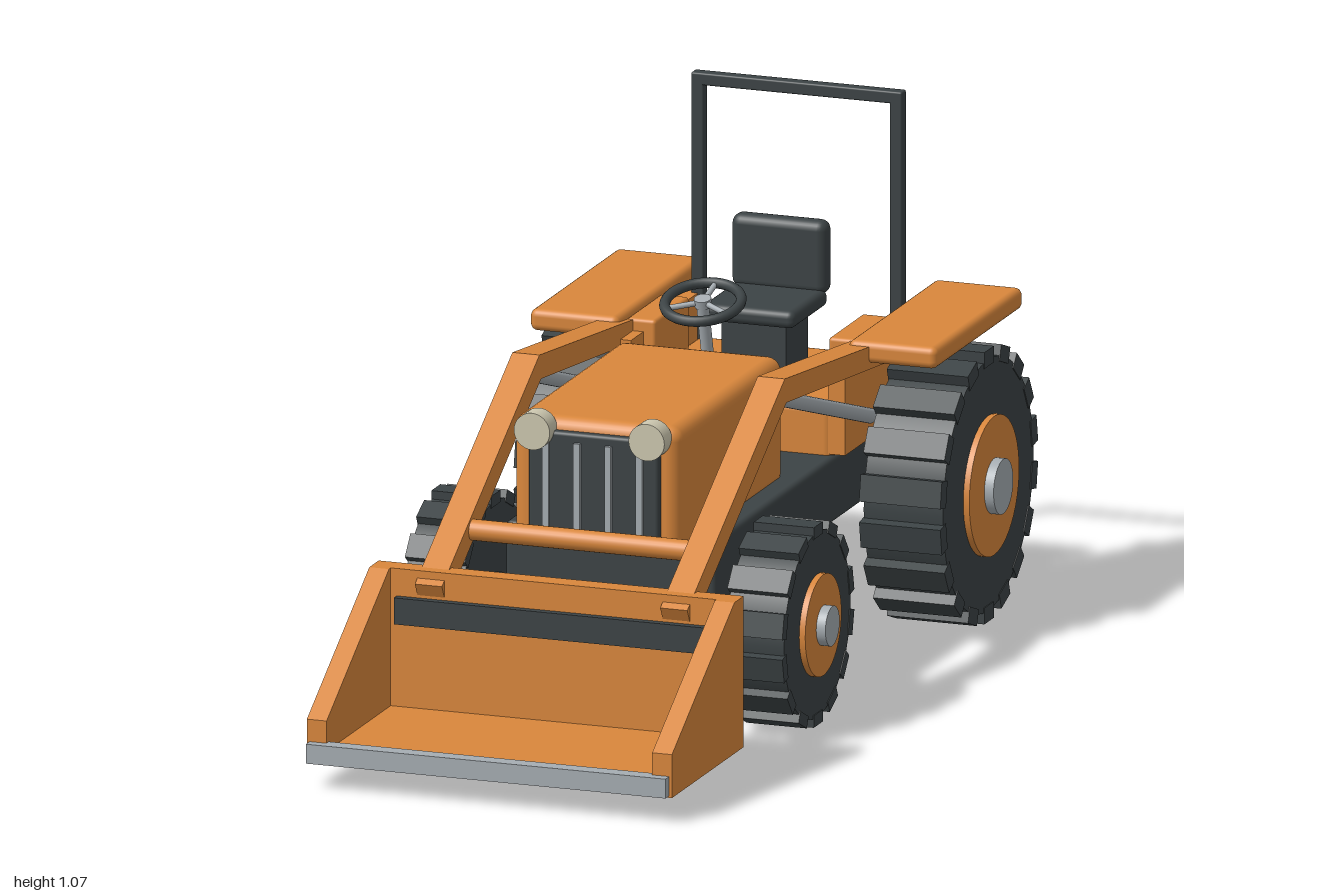
import * as THREE from 'three';
import { RoundedBoxGeometry } from 'three/addons/geometries/RoundedBoxGeometry.js';

export function createModel() {
  const model = new THREE.Group();
  model.name = 'bucketTractor';

  const paint = (name, color) => {
    const m = new THREE.MeshStandardMaterial({ color });
    m.name = name;
    return m;
  };
  const orange = paint('orange paint', 0xd9873c);
  const dark = paint('dark rubber and frame', 0x3c4345);
  const steel = paint('steel', 0xa6adb2);
  const cream = paint('lamp cream', 0xcdc8b0);

  const add = (name, geometry, material, parent = model) => {
    const mesh = new THREE.Mesh(geometry, material);
    mesh.name = name;
    parent.add(mesh);
    return mesh;
  };
  // Box given by its min and max on each axis; r rounds the edges
  const box = (name, [x0, x1], [y0, y1], [z0, z1], material, r = 0) => {
    const s = [x1 - x0, y1 - y0, z1 - z0];
    const g = r ? new RoundedBoxGeometry(...s, 3, r) : new THREE.BoxGeometry(...s);
    g.translate((x0 + x1) / 2, (y0 + y1) / 2, (z0 + z1) / 2);
    return add(name, g, material);
  };
  // Round bar between two points
  const rod = (name, a, b, radius, material, parent = model) => {
    const p = new THREE.Vector3(...a), q = new THREE.Vector3(...b);
    const d = q.clone().sub(p);
    const mesh = add(name, new THREE.CylinderGeometry(radius, radius, d.length(), 24), material, parent);
    mesh.position.copy(p).add(q).multiplyScalar(0.5);
    mesh.quaternion.setFromUnitVectors(new THREE.Vector3(0, 1, 0), d.normalize());
    return mesh;
  };
  // Side profile of [z, y] points, extruded across x0..x1
  const plate = (name, points, x0, x1, material) => {
    const shape = new THREE.Shape(points.map((p) => new THREE.Vector2(...p)));
    const g = new THREE.ExtrudeGeometry(shape, { depth: x1 - x0, bevelEnabled: false });
    g.rotateY(-Math.PI / 2).translate(x1, 0, 0);
    return add(name, g, material);
  };

  // Frame and rear body
  box('chassis', [-0.23, 0.23], [0.257, 0.397], [-0.86, 0.265], dark, 0.012);
  box('rearBumper', [-0.23, 0.23], [0.25, 0.4], [-0.93, -0.85], dark, 0.02);
  box('rearBody', [-0.225, 0.225], [0.38, 0.505], [-0.855, -0.435], orange, 0.02);

  // Hood, grille and bars
  box('hood', [-0.182, 0.182], [0.375, 0.65], [-0.27, 0.352], orange, 0.03);
  box('grille', [-0.142, 0.142], [0.385, 0.625], [0.33, 0.366], dark, 0.008);
  for (const x of [-0.102, -0.034, 0.034, 0.102])
    box('grilleBar', [x - 0.007, x + 0.007], [0.42, 0.605], [0.36, 0.374], steel);

  // Seat
  box('seatPedestal', [-0.07, 0.07], [0.49, 0.64], [-0.71, -0.58], dark);
  box('seatCushion', [-0.102, 0.102], [0.625, 0.662], [-0.745, -0.54], dark, 0.015);
  box('seatBack', [-0.104, 0.104], [0.65, 0.806], [-0.767, -0.72], dark, 0.02);

  // Steering column and wheel
  rod('steeringColumn', [0, 0.39, -0.37], [0, 0.74, -0.277], 0.013, steel);
  const steering = new THREE.Group();
  steering.name = 'steeringWheel';
  steering.position.set(0, 0.742, -0.28);
  steering.rotation.x = 0.27;
  model.add(steering);
  add('steeringRim', new THREE.TorusGeometry(0.079, 0.011, 12, 40).rotateX(Math.PI / 2), dark, steering);
  add('steeringHub', new THREE.CylinderGeometry(0.018, 0.018, 0.018, 20), steel, steering);
  for (let i = 0; i < 3; i++) {
    const a = (i * 2 * Math.PI) / 3 + Math.PI / 2;
    rod('steeringSpoke', [0, 0, 0], [0.077 * Math.cos(a), 0, -0.077 * Math.sin(a)], 0.006, steel, steering);
  }

  // Roll bar
  box('rollBarTop', [-0.23, 0.23], [1.041, 1.067], [-0.857, -0.83], dark, 0.004);

  // Wheel with lugged tyre, rim disc and hub cap; s is the side
  const wheel = (name, s, { y, z, radius, inner, outer, rim, cap, lugs }) => {
    const g = new THREE.Group();
    g.name = name;
    g.position.set(0, y, z);
    model.add(g);
    const disc = (part, r, x0, x1, material) => {
      const geo = new THREE.CylinderGeometry(r, r, x1 - x0, 48).rotateZ(Math.PI / 2);
      geo.translate((s * (x0 + x1)) / 2, 0, 0);
      add(part, geo, material, g);
    };
    disc('tyre', radius * 0.925, inner, outer, dark);
    disc('rim', rim, inner + 0.02, outer + 0.013, orange);
    disc('hubCap', cap, outer, outer + 0.033, steel);
    const h = radius * 0.12, w = ((radius * 2 * Math.PI) / lugs) * 0.56;
    for (let i = 0; i < lugs; i++) {
      const geo = new THREE.BoxGeometry(outer - inner + 0.004, h, w);
      geo.translate((s * (inner + outer)) / 2, radius - h / 2, 0);
      geo.rotateX((i / lugs) * 2 * Math.PI);
      add('treadLug', geo, dark, g);
    }
  };
  const rear = { y: 0.288, z: -0.71, radius: 0.288, inner: 0.29, outer: 0.463, rim: 0.147, cap: 0.058, lugs: 18 };
  const front = { y: 0.212, z: 0.167, radius: 0.212, inner: 0.288, outer: 0.415, rim: 0.107, cap: 0.042, lugs: 14 };
  rod('rearAxle', [-0.32, rear.y, rear.z], [0.32, rear.y, rear.z], 0.05, dark);
  rod('frontAxle', [-0.32, front.y, front.z], [0.32, front.y, front.z], 0.045, dark);

  // Lift arm outline, bent at the top
  const armProfile = [
    [0.615, 0.345], [0.04, 0.689], [-0.605, 0.612], [-0.605, 0.565], [0.03, 0.636], [0.59, 0.3],
  ];
  // Bucket cheek outline
  const cheekProfile = [[0.555, 0.05], [0.978, 0.05], [0.978, 0.142], [0.61, 0.37], [0.555, 0.37]];

  // Mirrored parts
  for (const s of [1, -1]) {
    const span = (a, b) => (s > 0 ? [a, b] : [-b, -a]);
    wheel('rearWheel', s, rear);
    wheel('frontWheel', s, front);
    box('fender', span(0.25, 0.444), [0.594, 0.64], [-0.97, -0.455], orange, 0.015);
    box('fenderPanel', span(0.215, 0.252), [0.4, 0.6], [-0.855, -0.437], orange);
    box('armMount', span(0.188, 0.252), [0.45, 0.626], [-0.71, -0.51], orange, 0.008);
    box('rollBarPost', span(0.203, 0.23), [0.4, 1.06], [-0.857, -0.83], dark, 0.004);
    const lamp = add('headlight', new THREE.CylinderGeometry(0.039, 0.039, 0.045, 32).rotateX(Math.PI / 2), cream);
    lamp.position.set(s * 0.125, 0.627, 0.368);
    plate('liftArm', armProfile, ...span(0.238, 0.297), orange);
    rod('liftCylinder', [s * 0.268, 0.635, 0], [s * 0.268, 0.46, -0.54], 0.016, steel);
    plate('bucketCheek', cheekProfile, ...span(0.355, 0.398), orange);
  }
  rod('armCrossbar', [-0.24, 0.42, 0.435], [0.24, 0.42, 0.435], 0.022, orange);

  // Bucket
  box('bucketBack', [-0.36, 0.36], [0.05, 0.37], [0.555, 0.6], orange);
  box('bucketFloor', [-0.36, 0.36], [0.05, 0.078], [0.58, 0.978], orange);
  box('bucketLip', [-0.392, 0.392], [0.054, 0.095], [0.965, 1.0], steel);
  box('bucketBrace', [-0.342, 0.342], [0.256, 0.312], [0.542, 0.617], dark);

  return model;
}
